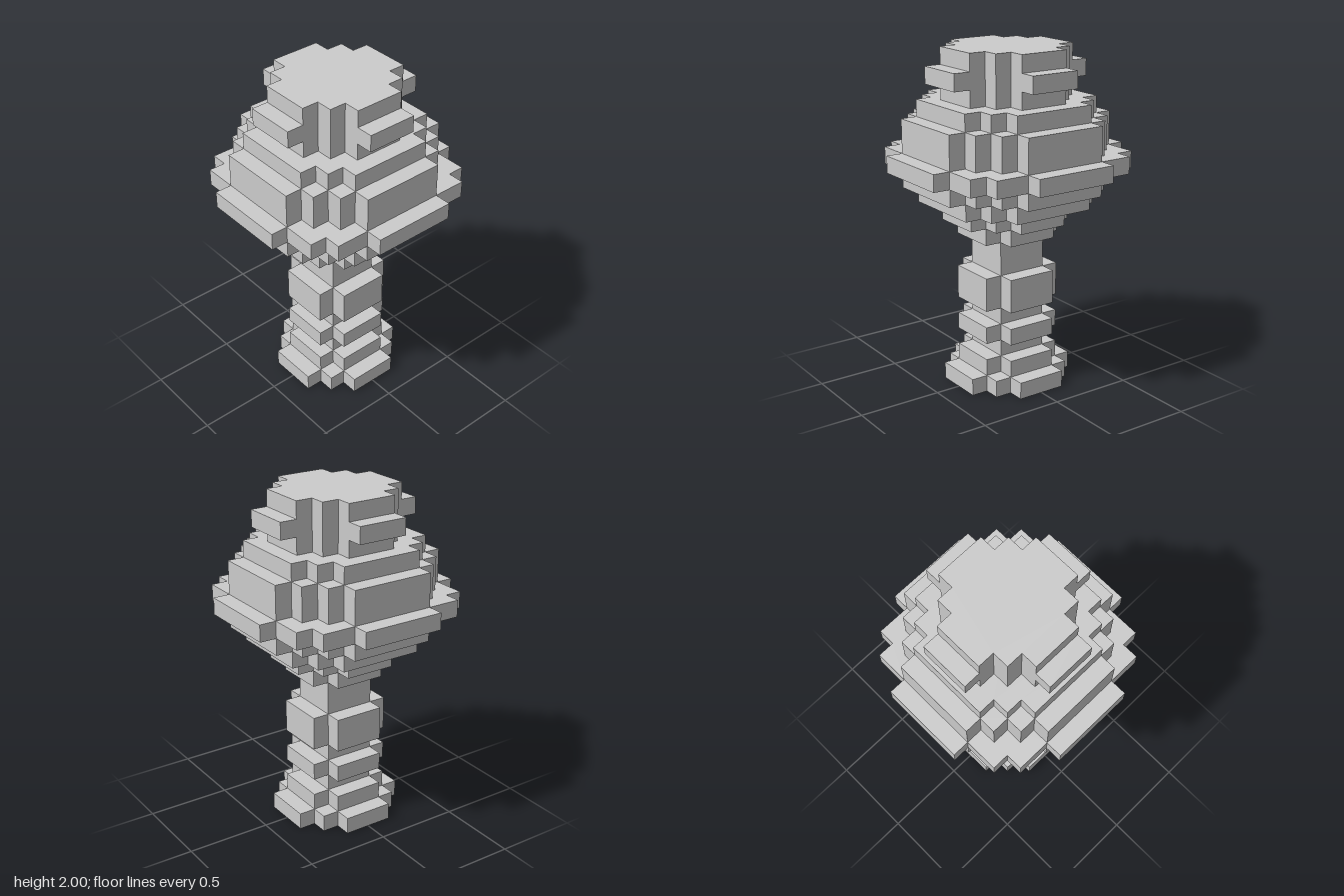
import * as THREE from 'three';

const U = 0.1; // block size
const material = new THREE.MeshStandardMaterial({ color: 0xcccccc, flatShading: true });

// Stepped disc outline, an odd number of blocks across
function discShape(blocks) {
  const n = (blocks - 1) / 2;
  const reach = (row) => Math.floor(Math.sqrt(blocks * blocks / 4 - row * row)) + 0.5;
  const half = [];
  for (let row = -n; row <= n; row++) {
    const w = reach(row);
    if (row === -n || reach(row - 1) !== w) half.push([w, row - 0.5]);
    if (row === n || reach(row + 1) !== w) half.push([w, row + 0.5]);
  }
  const points = [...half, ...half.map(([x, y]) => [-x, -y])];
  return new THREE.Shape(points.map(([x, y]) => new THREE.Vector2(x * U, y * U)));
}

// One slab of blocks, from bottom to top (counted in blocks)
function slab(name, blocks, bottom, top) {
  const geometry = new THREE.ExtrudeGeometry(discShape(blocks), {
    depth: (top - bottom) * U, bevelEnabled: false,
  });
  geometry.rotateX(-Math.PI / 2);
  geometry.translate(0, bottom * U, 0);
  const mesh = new THREE.Mesh(geometry, material);
  mesh.name = name;
  return mesh;
}

export function createModel() {
  const model = new THREE.Group();
  model.name = 'blockMace';

  // name, blocks across, bottom, top
  const layers = [
    ['pommelBase', 7, 0, 1],
    ['pommelStep', 5, 1, 2],
    ['gripLower', 3, 2, 3],
    ['gripRingLower', 5, 3, 4],
    ['gripMiddle', 3, 4, 5],
    ['gripRingUpper', 5, 5, 7],
    ['gripUpper', 3, 7, 9],
    ['headCollar', 5, 9, 10],
    ['headStep1', 7, 10, 11],
    ['headStep2', 9, 11, 12],
    ['headStep3', 11, 12, 13],
    ['headRim', 13, 13, 14],
    ['headUpper', 11, 14, 16],
    ['headShoulder', 9, 16, 17],
    ['crown', 7, 17, 20],
  ];
  for (const layer of layers) model.add(slab(...layer));

  // Four bars around the crown
  for (let i = 0; i < 4; i++) {
    const bar = new THREE.Mesh(new THREE.BoxGeometry(3 * U, U, U), material);
    const angle = i * Math.PI / 2;
    bar.name = 'crownBar';
    bar.rotation.y = angle;
    bar.position.set(Math.sin(angle) * 4 * U, 18.5 * U, Math.cos(angle) * 4 * U);
    model.add(bar);
  }
  return model;
}
